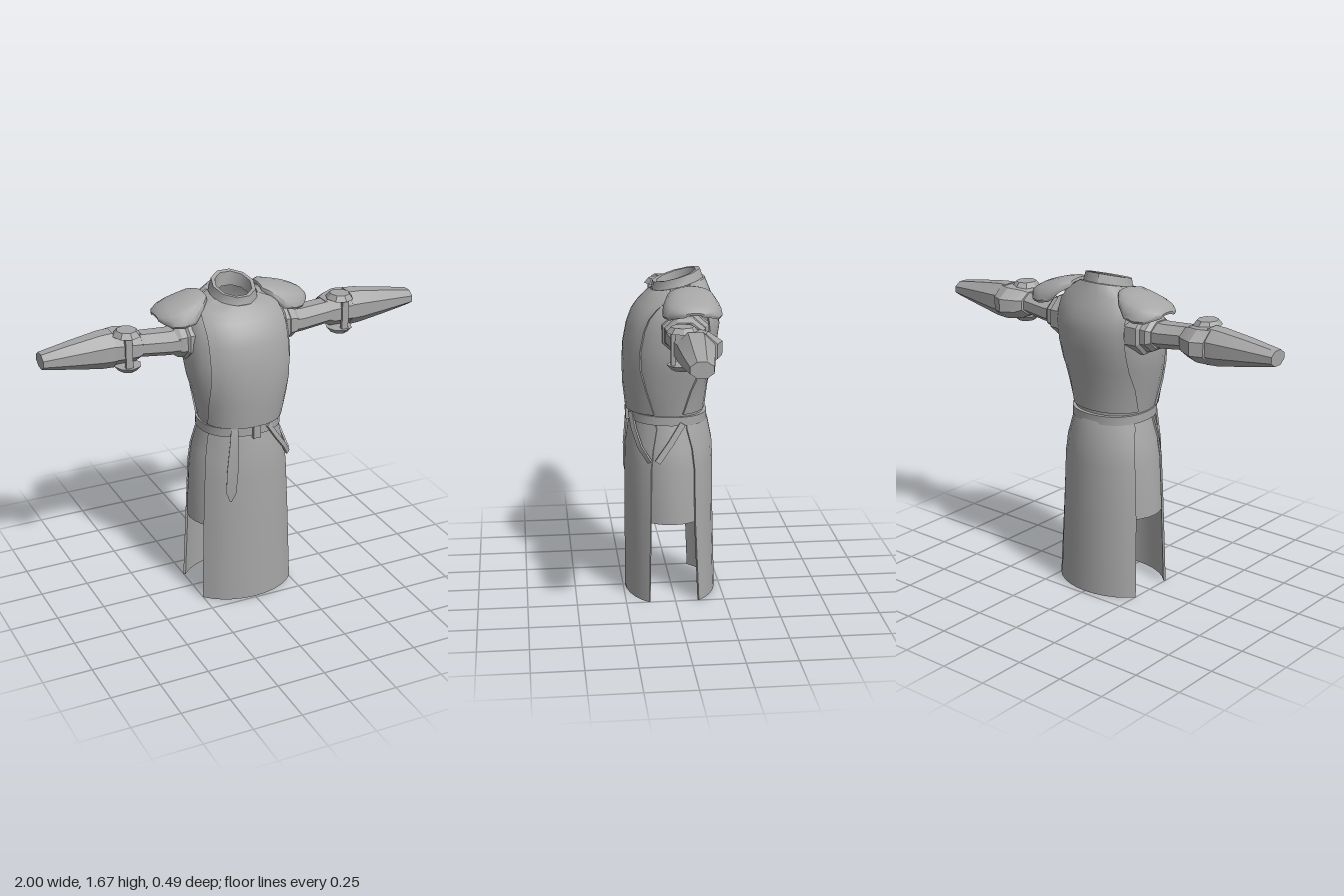
import * as THREE from 'three';
import { toCreasedNormals } from 'three/addons/utils/BufferGeometryUtils.js';

const cloth = new THREE.MeshStandardMaterial({ color: 0xa6a6a6, side: THREE.DoubleSide });
cloth.name = 'grey cloth';

// Skin a list of closed rings; caps pair opposite points, so thin shells close too
function loft(name, rings, { cap = true, crease = 0.6, loop = false } = {}) {
  const n = rings[0].length, m = rings.length, pos = [], idx = [];
  rings.forEach(r => r.forEach(p => pos.push(...p)));
  for (let j = 0; j < (loop ? m : m - 1); j++) {
    const k = (j + 1) % m;
    for (let i = 0; i < n; i++) {
      const a = j * n + i, b = j * n + (i + 1) % n, c = k * n + i, d = k * n + (i + 1) % n;
      idx.push(a, b, d, a, d, c);
    }
  }
  if (cap && !loop) {
    for (const [o, flip] of [[0, true], [(m - 1) * n, false]]) {
      for (let i = 0; i < n / 2 - 1; i++) {
        const q = [o + i, o + i + 1, o + n - 2 - i, o + n - 1 - i];
        if (flip) q.reverse();
        idx.push(q[0], q[1], q[2], q[0], q[2], q[3]);
      }
    }
  }
  const g = new THREE.BufferGeometry();
  g.setAttribute('position', new THREE.Float32BufferAttribute(pos, 3));
  g.setIndex(idx);
  const mesh = new THREE.Mesh(toCreasedNormals(g, crease), cloth);
  mesh.name = name;
  return mesh;
}

// Point on a body row { y, w: half width, f: front z, b: back z, tilt }, angle 0 = +x, PI/2 = front
const pw = (v, p) => Math.sign(v) * Math.abs(v) ** p;
function at(r, a, off = 0) {
  const p = r.p ?? 1, s = pw(Math.sin(a), p), c = pw(Math.cos(a), p);
  return [(r.w + off) * c, r.y + (r.tilt ?? 0) * s, (r.f + r.b) / 2 + ((r.f - r.b) / 2 + off) * s];
}
const ring = (r, off = 0, n = 24) => Array.from({ length: n }, (_, i) => at(r, -i / n * Math.PI * 2, off));

// Thick cloth panel following the rows between two angles given per row
function panel(name, rows, range, off, thick, n = 10) {
  return loft(name, rows.map(r => {
    const [a0, a1] = range(r), out = [], inn = [];
    for (let i = 0; i <= n; i++) {
      const a = a0 + (a1 - a0) * i / n;
      out.push(at(r, a, off));
      inn.unshift(at(r, a, off - thick));
    }
    return [...out, ...inn];
  }));
}
const edge = r => Math.acos(Math.min(0.97, r.e / r.w) ** (1 / (r.p ?? 1)));
const frontRange = r => [Math.PI - edge(r), edge(r)];
const backRange = r => [-edge(r), edge(r) - Math.PI];

// Flat strap through points [x, y, z, width], width along direction d
function strap(name, pts, d, nrm) {
  return loft(name, pts.map(([x, y, z, w]) => [[-1, -1], [1, -1], [1, 1], [-1, 1]].map(([s, t]) => [0, 1, 2].map(
    k => [x, y, z][k] + d[k] * s * w / 2 + nrm[k] * t * 0.005))), { crease: 0.3 });
}

const torsoRows = [
  [0.975, 0.205, 0.222, -0.160], [1.1, 0.232, 0.236, -0.175], [1.2, 0.258, 0.238, -0.197],
  [1.3, 0.272, 0.232, -0.218], [1.4, 0.27, 0.213, -0.232], [1.46, 0.262, 0.19, -0.226],
  [1.51, 0.245, 0.158, -0.208, -0.005], [1.56, 0.205, 0.12, -0.182, -0.015], [1.6, 0.12, 0.09, -0.16, -0.03],
].map(([y, w, f, b, tilt = 0]) => ({ y, w, f, b, tilt, p: 0.9, e: Math.min(0.205, w * 0.95) }));

const skirtRows = [
  [0.95, 0.195, 0.2, -0.165, 0.175], [0.9, 0.205, 0.208, -0.18, 0.19], [0.8, 0.235, 0.222, -0.2, 0.21],
  [0.7, 0.252, 0.227, -0.205, 0.22], [0.42, 0.268, 0.23, -0.207, 0.232], [0, 0.292, 0.232, -0.218, 0.245],
].map(([y, w, f, b, e]) => ({ y, w, f, b, e }));

function arm() {
  const g = new THREE.Group();
  const section = (x, y, z, ry, rz, n = 8) => Array.from({ length: n }, (_, i) => {
    const a = (i + 0.5) / n * Math.PI * 2;
    return [x, y + ry * 1.06 * Math.sin(a), z + rz * 1.06 * Math.cos(a)];
  });
  const tube = (name, rows) => loft(name, rows.map(r => section(...r)), { crease: 0.3 });
  g.add(
    tube('shoulderCuff', [[0.2, 1.4, -0.045, 0.11, 0.12], [0.27, 1.4, -0.045, 0.105, 0.115],
      [0.28, 1.4, -0.04, 0.09, 0.1], [0.31, 1.4, -0.04, 0.085, 0.1], [0.33, 1.4, -0.035, 0.07, 0.085]]),
    tube('upperSleeve', [[0.22, 1.4, -0.03, 0.07, 0.09], [0.36, 1.4, -0.028, 0.062, 0.085],
      [0.51, 1.415, -0.025, 0.058, 0.08]]),
    tube('elbow', [[0.5, 1.415, -0.035, 0.06, 0.085], [0.53, 1.41, -0.045, 0.075, 0.1],
      [0.6, 1.41, -0.065, 0.082, 0.115], [0.66, 1.408, -0.055, 0.085, 0.095]]),
    tube('forearm', [[0.64, 1.408, -0.048, 0.09, 0.09], [0.7, 1.408, -0.047, 0.087, 0.088],
      [0.85, 1.41, -0.04, 0.064, 0.073], [1, 1.411, -0.035, 0.038, 0.055]]));
  // Faceted pads above and below the elbow, joined by a strap
  for (const [name, y, s] of [['upperElbowPad', 1.497, 1], ['lowerElbowPad', 1.318, -1]]) {
    const geo = new THREE.CylinderGeometry(s > 0 ? 0.05 : 0.068, s > 0 ? 0.07 : 0.045, 0.026, 8).toNonIndexed();
    geo.computeVertexNormals();
    const pad = new THREE.Mesh(geo, cloth);
    pad.position.set(0.577, y, 0.005);
    pad.scale.z = 1.1;
    pad.name = name;
    g.add(pad);
  }
  const band = new THREE.Mesh(new THREE.BoxGeometry(0.035, 0.17, 0.02), cloth);
  band.position.set(0.585, 1.408, 0.05);
  band.name = 'elbowStrap';
  g.add(band);

  // Domed shoulder plate sloping down to an outer tip
  const rows = [[0.15, 1.612, 0.065, 0.02], [0.19, 1.616, 0.115, 0.055], [0.24, 1.606, 0.14, 0.095],
    [0.3, 1.588, 0.145, 0.09], [0.35, 1.568, 0.125, 0.07], [0.385, 1.548, 0.085, 0.035], [0.4, 1.53, 0.045, 0.01]];
  g.add(loft('shoulderPlate', rows.map(([x, y, w, drop]) => {
    const top = [], low = [];
    for (let i = 0; i <= 10; i++) {
      const v = i / 5 - 1, z = -0.075 + w * Math.sin(v * Math.PI / 2);
      top.push([x, y - drop * v * v, z]);
      low.unshift([x - 0.003, y - drop * v * v - 0.012, -0.075 + (z + 0.075) * 0.95]);
    }
    return [...top, ...low];
  }), { crease: 0.7 }));
  return g;
}

export function createModel() {
  const model = new THREE.Group();
  model.name = 'armouredTunic';

  // Torso with layered front and back cloth
  const waist = { y: 0.92, w: 0.19, f: 0.195, b: -0.16, p: 0.9 };
  model.add(
    loft('torso', [waist, ...torsoRows].map(r => ring(r)), { cap: false }),
    panel('chestPanel', torsoRows, frontRange, 0.009, 0.014),
    panel('backPanel', torsoRows, backRange, 0.009, 0.014));

  // Raised collar, higher at the back
  const collar = [[1.565, 0.135, 0.115, -0.17, -0.03], [1.595, 0.118, 0.1, -0.165, -0.032],
    [1.642, 0.108, 0.095, -0.148, -0.033], [1.64, 0.09, 0.072, -0.125, -0.03], [1.575, 0.085, 0.055, -0.12, -0.025]];
  model.add(loft('collar', collar.map(([y, w, f, b, tilt]) => ring({ y, w, f, b, tilt }, 0, 10)), { cap: false, crease: 0.7 }));

  // Long front and back skirts, shorter side skirts
  model.add(
    panel('frontSkirt', skirtRows, frontRange, 0.008, 0.012),
    panel('backSkirt', skirtRows, backRange, 0.008, 0.012));
  const sideRows = skirtRows.slice(0, 5);
  model.add(
    panel('leftSideSkirt', sideRows, r => [edge(r) + 0.12, -edge(r) - 0.12], 0, 0.008, 6),
    panel('rightSideSkirt', sideRows, r => [Math.PI + edge(r) + 0.12, Math.PI - edge(r) - 0.12], 0, 0.008, 6));

  // Belt, buckle and hanging straps
  const beltRow = y => ({ y, w: 0.2, f: 0.208, b: -0.168, tilt: 0.007, p: 0.9 });
  model.add(loft('belt', [[0.92, -0.01], [0.92, 0.012], [0.965, 0.012], [0.965, -0.01]]
    .map(([y, o]) => ring(beltRow(y), o)), { loop: true }));
  const buckle = new THREE.Mesh(new THREE.BoxGeometry(0.04, 0.065, 0.02), cloth);
  buckle.position.set(0.01, 0.945, 0.222);
  buckle.name = 'buckle';
  model.add(buckle,
    strap('hangingStrap', [[-0.1, 0.975, 0.2, 0.035], [-0.105, 0.92, 0.212, 0.04], [-0.12, 0.75, 0.222, 0.055],
      [-0.128, 0.63, 0.222, 0.05], [-0.13, 0.58, 0.22, 0.008]], [0.92, 0, 0.4], [-0.4, 0, 0.92]),
    strap('frontLoop', [[0.08, 0.965, 0.21, 0.03], [0.13, 0.89, 0.198, 0.03], [0.19, 0.81, 0.172, 0.03],
      [0.235, 0.74, 0.125, 0.03]], [0.75, 0.3, -0.6], [0.6, 0, 0.8]),
    strap('sideLoop', [[0.208, 0.93, -0.04, 0.03], [0.232, 0.84, 0.02, 0.03], [0.25, 0.745, 0.09, 0.03]],
      [0, 0.55, 0.83], [1, 0, 0]));

  // Arms and shoulder plates, mirrored
  const left = arm(), right = arm();
  left.name = 'leftArm';
  right.name = 'rightArm';
  right.scale.x = -1;
  model.add(left, right);
  return model;
}
